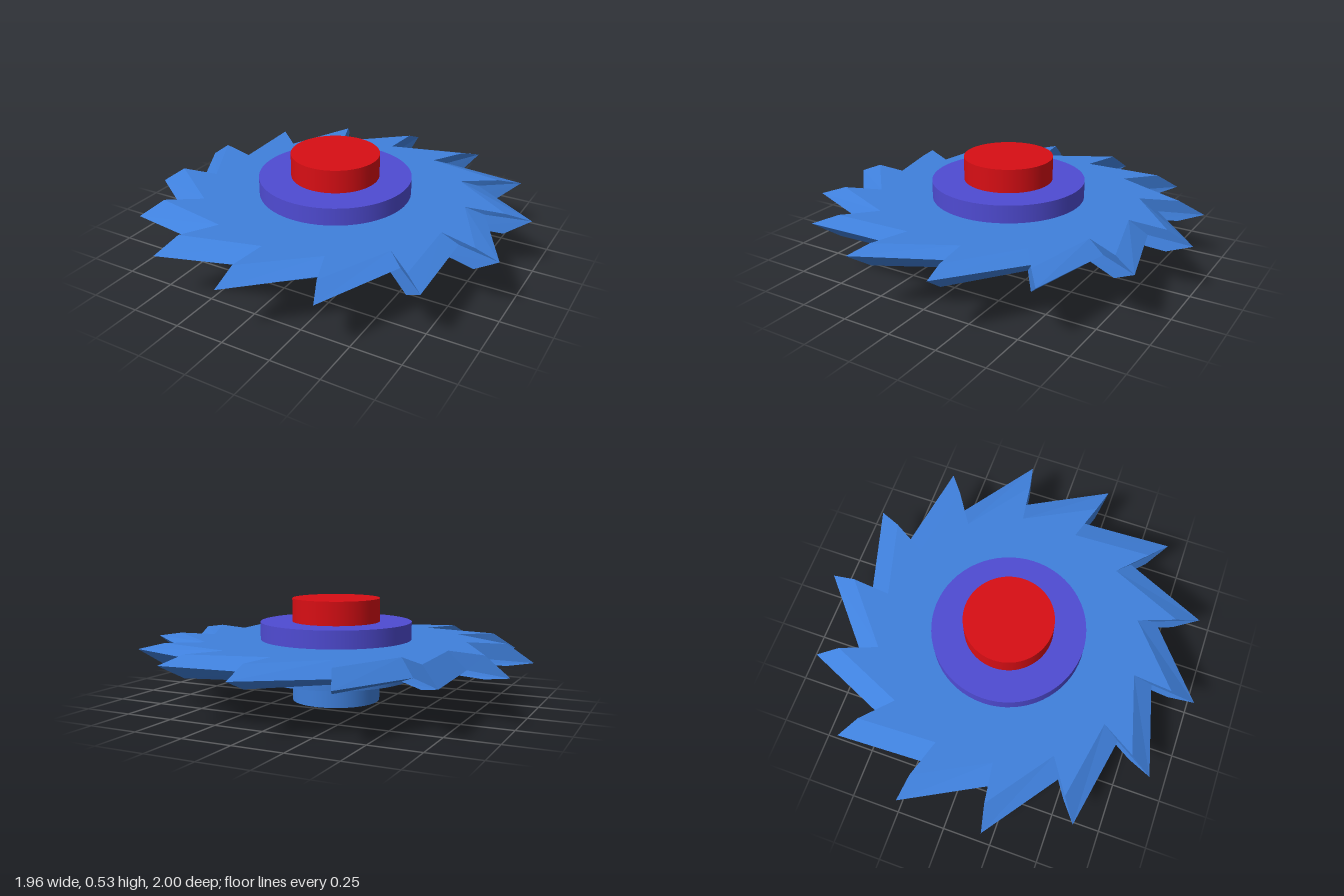
import * as THREE from 'three';

const TEETH = 14, STEP = (Math.PI * 2) / TEETH, LEAN = 0.02;
const BOTTOM = 0.21, TOP = 0.32, MID = 0.265;
const BEVEL = 0.87; // size of the flat faces compared with the cutting edge

const paint = (color, flatShading = false) => new THREE.MeshStandardMaterial({ color, flatShading });

function addMesh(group, name, geometry, material) {
  const mesh = new THREE.Mesh(geometry, material);
  mesh.name = name;
  group.add(mesh);
}

function facets(corners) {
  const g = new THREE.BufferGeometry();
  g.setAttribute('position', new THREE.Float32BufferAttribute(corners.flat(), 3));
  g.computeVertexNormals();
  return g;
}

// Points of one layer: top, slightly tilted cutting edge, or bottom
function point(layer, radius, angle) {
  const r = radius * (layer === 'edge' ? 1 : BEVEL);
  const x = r * Math.sin(angle), z = -r * Math.cos(angle);
  const y = layer === 'top' ? TOP : layer === 'bottom' ? BOTTOM : MID + 0.036 * x;
  return [x, y, z];
}
const notch = (layer, k) => point(layer, 0.77, k * STEP);
const tip = (layer, k) => point(layer, 1, k * STEP + LEAN);

export function createModel() {
  const group = new THREE.Group();
  const blue = 0x3f80dc, purple = 0x4f4bd2, red = 0xd80e14;

  // Saw blade: each sector is a tooth with bevels above and below its edge
  const blade = [], patch = [];
  for (let k = 0; k < TEETH; k++) {
    const sector = (layer) => [notch(layer, k), tip(layer, k + 1), notch(layer, k + 1)];
    const top = sector('top'), edge = sector('edge'), bottom = sector('bottom');

    blade.push([0, TOP, 0], top[2], top[0], top[0], top[2], top[1]);
    // one sector of the underside has its own colour
    const under = k === TEETH - 1 ? patch : blade;
    under.push([0, BOTTOM, 0], bottom[0], bottom[2], bottom[0], bottom[1], bottom[2]);

    for (const [up, low] of [[top, edge], [edge, bottom]]) {
      for (let i = 0; i < 2; i++) {
        blade.push(up[i], up[i + 1], low[i + 1], up[i], low[i + 1], low[i]);
      }
    }
  }
  addMesh(group, 'sawBlade', facets(blade), paint(blue, true));
  addMesh(group, 'undersidePatch', facets(patch), paint(purple, true));

  // Collars and hub ends: side, top and bottom colours
  const discs = [
    ['upperCollar', 0.39, TOP, 0.41, [purple, purple, purple]],
    ['lowerCollar', 0.39, 0.12, BOTTOM, [blue, blue, purple]],
    ['upperHub', 0.226, 0.41, 0.53, [red, red, red]],
    ['lowerHub', 0.226, 0, 0.12, [blue, blue, blue]],
  ];
  for (const [name, radius, y0, y1, colors] of discs) {
    const g = new THREE.CylinderGeometry(radius, radius, y1 - y0, 64);
    g.translate(0, (y0 + y1) / 2, 0);
    addMesh(group, name, g, colors.map((c) => paint(c)));
  }
  return group;
}
